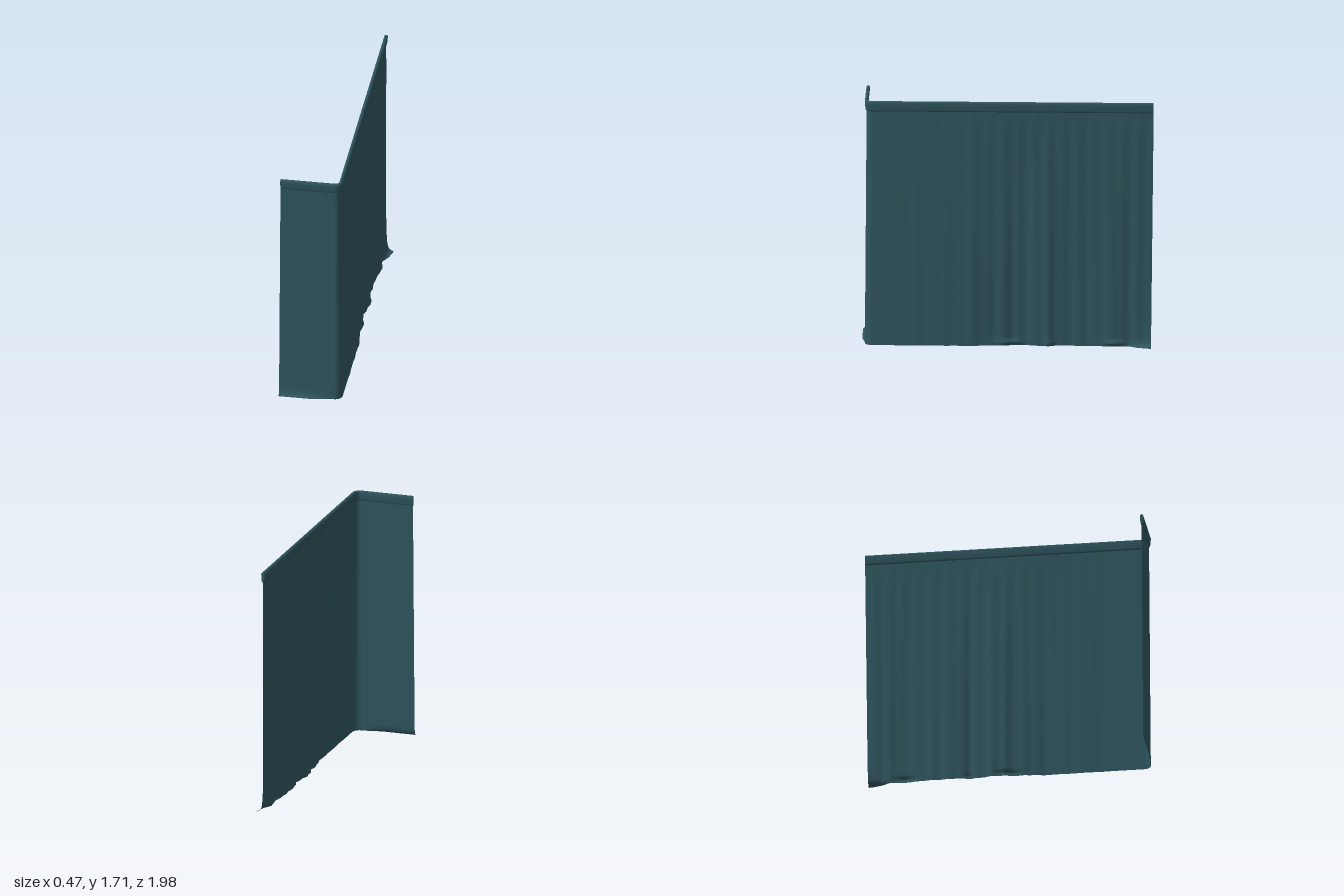
import * as THREE from 'three';

const HEIGHT = 1.71, SEAM = 1.64;
const X_LEFT = -0.232, X_SIDE = 0.177, Z_FRONT = 0.952, Z_BACK = -0.995, R = 0.04;
const LEN_A = X_SIDE - R - X_LEFT, LEN_ARC = R * Math.PI / 2, LEN_B = Z_FRONT - R - Z_BACK;
const LENGTH = LEN_A + LEN_ARC + LEN_B;

// L-shaped rail: point and outward normal at distance s from the short end
function rail(s) {
  if (s < LEN_A) return { x: X_LEFT + s, z: Z_FRONT, nx: 0, nz: 1 };
  if (s < LEN_A + LEN_ARC) {
    const a = (s - LEN_A) / R, nx = Math.sin(a), nz = Math.cos(a);
    return { x: X_SIDE - R + nx * R, z: Z_FRONT - R + nz * R, nx, nz };
  }
  return { x: X_SIDE, z: Z_FRONT - R - (s - LEN_A - LEN_ARC), nx: 1, nz: 0 };
}

const bump = (t, centre, width) => Math.exp(-(((t - centre) / width) ** 2));
const ramp = THREE.MathUtils.smoothstep;

// Surface swept along the rail; place(s, j) gives [outward offset, y, shift along rail]
function sweep(columns, rows, place) {
  const pos = [], index = [];
  for (let i = 0; i <= columns; i++) {
    const s = LENGTH * i / columns, p = rail(s);
    for (let j = 0; j <= rows; j++) {
      const [o, y, shift] = place(s, j, p);
      pos.push(p.x + p.nx * o + p.nz * shift, y, p.z + p.nz * o - p.nx * shift);
      if (i < columns && j < rows) {
        const a = i * (rows + 1) + j, b = a + rows + 1;
        index.push(a, b, b + 1, a, b + 1, a + 1);
      }
    }
  }
  const g = new THREE.BufferGeometry();
  g.setAttribute('position', new THREE.Float32BufferAttribute(pos, 3));
  g.setIndex(index);
  g.computeVertexNormals();
  return g;
}

// Hanging folds of the long side: [z, depth, width]
const FOLDS = [
  [0.62, 0.003, 0.05], [0.4, 0.004, 0.05], [0.25, 0.009, 0.06], [0.1, -0.006, 0.04], [-0.04, -0.014, 0.035],
  [-0.12, -0.019, 0.06], [-0.28, 0.009, 0.025], [-0.4, -0.014, 0.08], [-0.55, -0.01, 0.07],
  [-0.72, 0.008, 0.04], [-0.82, -0.006, 0.03],
];

function clothPoint(s, y, p) {
  const drop = 1 - y / SEAM;
  let o = 0.012 * drop * ramp(p.z, -0.1, 0.5);
  if (p.nx > 0.5) {
    for (const [z, depth, width] of FOLDS) o += depth * bump(p.z, z, width) * Math.min(1, drop * 1.4);
    o += 0.0018 * Math.sin(p.z * 62) * ramp(drop, 0, 0.1) * ramp(-p.z, -0.7, 0);
  }
  // Hem spreading over the floor at both ends
  const front = p.nz * 0.022 * (1 - ramp(p.x, -0.02, 0.14));
  const back = p.nx * 0.052 * ramp(-p.z, 0.78, 0.98);
  o += front * Math.exp(-y / 0.018);
  o += back * (0.3 * Math.exp(-y / 0.12) + 0.7 * Math.exp(-y / 0.014));
  // Crumpled spots low on the long side
  if (p.nx > 0.5) {
    const crumple = bump(p.z, -0.02, 0.08) + bump(p.z, -0.72, 0.06) + 0.5 * bump(p.z, -0.29, 0.03);
    o += 0.014 * crumple * bump(y, 0.025, 0.015);
  }
  const t = s / LENGTH;
  const shift = drop * (-0.008 * (1 - ramp(t, 0, 0.1)) - 0.018 * ramp(t, 0.93, 1));
  return [o, y, shift];
}

// Header sleeve cross-section: [outward offset, y]
const SLEEVE = [
  [0.001, SEAM - 0.002], [0.006, SEAM + 0.001], [0.008, SEAM + 0.01], [0.011, SEAM + 0.035],
  [0.012, HEIGHT - 0.012], [0.009, HEIGHT - 0.003], [0, HEIGHT], [-0.009, HEIGHT - 0.003],
  [-0.012, HEIGHT - 0.012], [-0.011, SEAM + 0.035], [-0.008, SEAM + 0.01], [-0.006, SEAM + 0.001],
  [-0.001, SEAM - 0.002],
];

export function createModel() {
  const group = new THREE.Group();
  group.name = 'cornerCurtain';
  const fabric = new THREE.MeshStandardMaterial({ color: 0x2f555e, side: THREE.DoubleSide });
  fabric.name = 'tealFabric';
  const add = (name, geometry) => {
    const mesh = new THREE.Mesh(geometry, fabric);
    mesh.name = name;
    group.add(mesh);
  };

  // Rows crowd toward the floor so the hem stays smooth
  const rows = 48;
  add('curtainCloth', sweep(420, rows, (s, j, p) => clothPoint(s, (SEAM + 0.004) * (j / rows) ** 2.2, p)));
  add('headerSleeve', sweep(200, SLEEVE.length - 1, (s, j) => [...SLEEVE[j], 0]));

  // Flat ends closing the sleeve
  const outline = new THREE.Shape(SLEEVE.map(([o, y]) => new THREE.Vector2(o, y)));
  const shortEnd = new THREE.ShapeGeometry(outline);
  shortEnd.rotateY(-Math.PI / 2).translate(X_LEFT, 0, Z_FRONT);
  add('sleeveEndShort', shortEnd);
  const longEnd = new THREE.ShapeGeometry(outline);
  longEnd.rotateY(Math.PI).scale(-1, 1, 1).translate(X_SIDE, 0, Z_BACK);
  add('sleeveEndLong', longEnd);
  return group;
}
